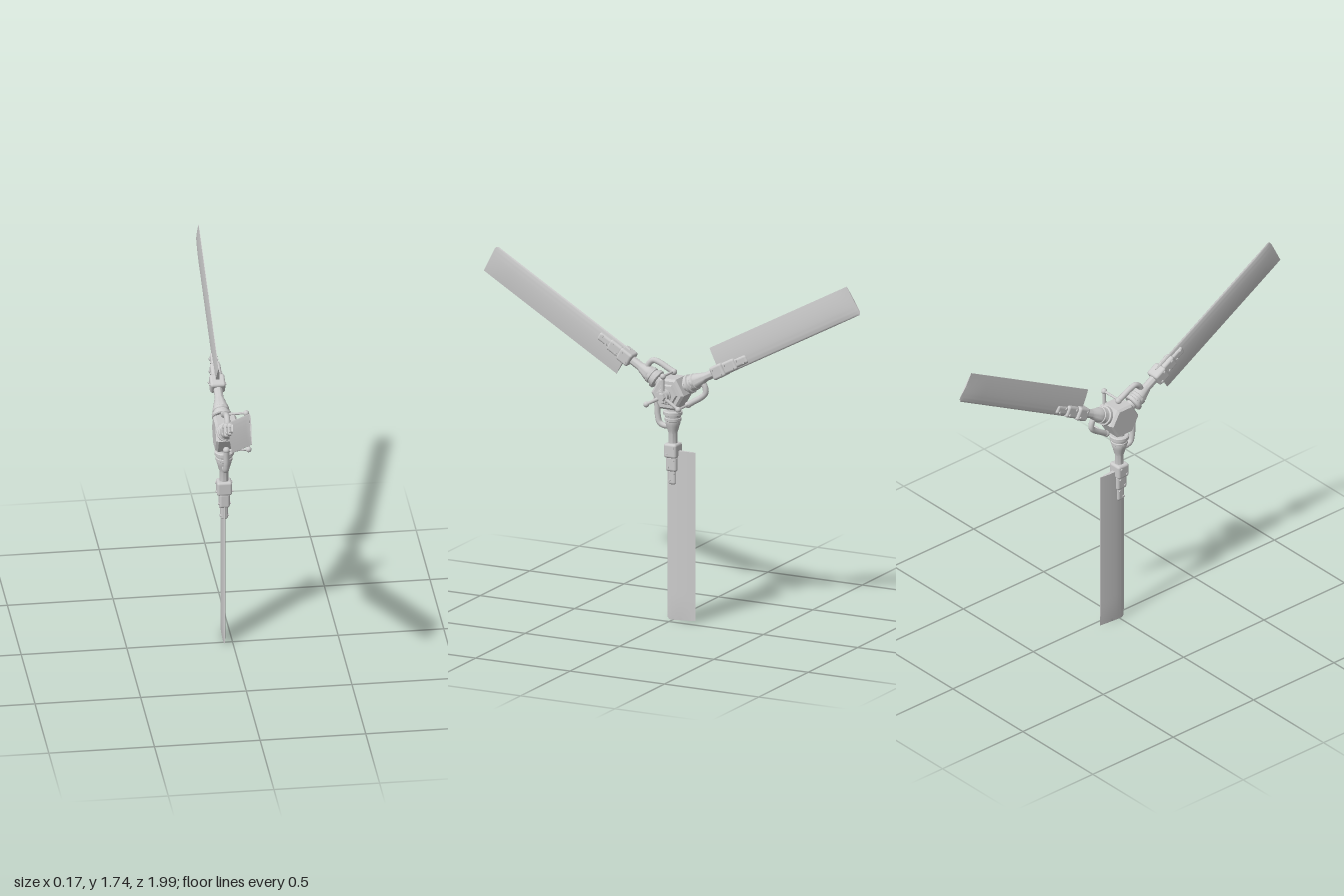
import * as THREE from 'three';
import { toCreasedNormals } from 'three/addons/utils/BufferGeometryUtils.js';
import { RoundedBoxGeometry } from 'three/addons/geometries/RoundedBoxGeometry.js';

const grey = new THREE.MeshStandardMaterial({ color: 0xcccccc });

function add(parent, name, geometry, x = 0, y = 0, z = 0) {
  const mesh = new THREE.Mesh(geometry, grey);
  mesh.name = name;
  mesh.position.set(x, y, z);
  parent.add(mesh);
  return mesh;
}

// Cylinder lying along x between two x positions
function xCylinder(parent, name, x0, x1, r0, r1, sides, y = 0, z = 0) {
  const g = new THREE.CylinderGeometry(r1, r0, x1 - x0, sides).rotateZ(-Math.PI / 2);
  return add(parent, name, toCreasedNormals(g, 0.6), (x0 + x1) / 2, y, z);
}

const lathe = (points, sides = 24) => toCreasedNormals(
  new THREE.LatheGeometry(points.map(([r, y]) => new THREE.Vector2(r, y)), sides), 0.6);

// Airfoil extruded down the span, thinned and rounded towards the tip
function bladeGeometry(root, tip) {
  const lead = 0.028, chord = 0.147, n = 18, upper = [], lower = [];
  for (let i = 0; i <= n; i++) {
    const t = (1 - Math.cos((i / n) * Math.PI)) / 2;
    const half = 0.022 * (Math.sqrt(t) * (1 - t) * 0.95 + 0.07 * t * (1 - t)) + 0.0012 * t;
    upper.push(new THREE.Vector2(half, lead - chord * t));
    if (i > 0) lower.unshift(new THREE.Vector2(-half, lead - chord * t));
  }
  const span = tip - root;
  const g = new THREE.ExtrudeGeometry(new THREE.Shape([...upper, ...lower]),
    { depth: span, steps: 40, bevelEnabled: false });
  const p = g.attributes.position;
  for (let i = 0; i < p.count; i++) {
    const d = p.getZ(i), c = (lead - p.getY(i)) / chord;
    const k = Math.max(0, (d - span + 0.13) / 0.13);
    p.setX(i, p.getX(i) * (1 - 0.6 * k * k));
    p.setZ(i, d - k * (0.008 * c + 0.012 * Math.max(0, 1 - c * 9) ** 2));
  }
  g.rotateX(Math.PI / 2).translate(0, -root, 0);
  return toCreasedNormals(g, 0.6);
}

// One blade with its grip, pointing down; the rotor centre is the origin
function bladeAssembly(tip, shift) {
  const arm = new THREE.Group();
  arm.name = 'bladeAssembly';
  add(arm, 'blade', bladeGeometry(0.283, tip), 0, 0, shift);

  // Pivot pin and flared collar, narrowing to the neck
  add(arm, 'pivotPin', new THREE.CylinderGeometry(0.026, 0.026, 0.06, 20), 0, -0.08, 0);
  const sleeve = lathe([
    [0, -0.265], [0.021, -0.265], [0.021, -0.2], [0.026, -0.185], [0.031, -0.165], [0.036, -0.15],
    [0.036, -0.141], [0.04, -0.138], [0.04, -0.126], [0.037, -0.123], [0.039, -0.112],
    [0.046, -0.109], [0.046, -0.095], [0.041, -0.091], [0, -0.091]]);
  add(arm, 'gripSleeve', sleeve);

  // Stepped clamp over the blade root, with bolts on both faces
  const steps = [ // r0, r1, width in x, width in z
    [0.248, 0.318, 0.072, 0.066], [0.31, 0.385, 0.05, 0.058], [0.375, 0.45, 0.034, 0.042]];
  steps.forEach(([r0, r1, w, d]) => {
    const mid = (r0 + r1) / 2;
    add(arm, 'clampStep', new RoundedBoxGeometry(w, r1 - r0, d, 3, 0.012), 0, -mid, 0);
    for (const side of [-1, 1]) {
      for (const [dy, dz] of [[-0.017, 0.25], [0.017, -0.25]]) {
        xCylinder(arm, 'clampBolt', side * w / 2 - 0.005, side * w / 2 + 0.005,
          0.006, 0.006, 8, -mid + dy, dz * d);
      }
    }
  });

  // Curved pitch horn, reaching round to the control link
  const path = new THREE.CatmullRomCurve3([
    [0, -0.168, 0.012], [0, -0.17, 0.045], [0, -0.158, 0.07], [0, -0.125, 0.08],
    [0, -0.08, 0.083], [0, -0.045, 0.086]].map(a => new THREE.Vector3(...a)));
  add(arm, 'pitchHorn', new THREE.TubeGeometry(path, 28, 0.014, 12));
  add(arm, 'hornEnd', new THREE.SphereGeometry(0.016, 14, 10), 0, -0.045, 0.086);
  return arm;
}

// Control link from the spider to a pitch horn
function controlLink() {
  const link = new THREE.Group();
  link.name = 'controlLink';
  const y = -0.048, z = 0.086;
  xCylinder(link, 'linkRod', 0, 0.105, 0.006, 0.006, 10, y, z);
  add(link, 'linkBall', new THREE.SphereGeometry(0.014, 16, 12), 0.105, y, z);
  const spoke = add(link, 'spiderArm',
    new THREE.CylinderGeometry(0.007, 0.01, 0.1, 10), 0.105, y / 2, z / 2);
  spoke.rotation.x = Math.atan2(z, y);
  return link;
}

export function createModel() {
  const model = new THREE.Group();
  model.name = 'tailRotor';
  const rotor = new THREE.Group();
  rotor.name = 'rotor';
  rotor.position.set(-0.04, 1.112, 0);
  model.add(rotor);

  // Six-sided hub, with flats towards the blades
  const hub = new THREE.Group();
  hub.name = 'hub';
  rotor.add(hub);
  const hex = (name, x0, x1, r0, r1) => {
    const m = xCylinder(hub, name, x0, x1, r0, r1, 6);
    m.rotation.x = 0;
    return m;
  };
  hex('hubBack', -0.047, -0.035, 0.076, 0.086);
  hex('hubBody', -0.035, 0.052, 0.086, 0.086);
  hex('hubRim', 0.052, 0.062, 0.086, 0.074);
  hex('hubCap', 0.062, 0.072, 0.056, 0.05);

  // Shaft and spider boss in front of the hub
  xCylinder(hub, 'shaft', 0.06, 0.115, 0.018, 0.018, 20);
  xCylinder(hub, 'spiderBoss', 0.085, 0.112, 0.034, 0.028, 20);
  xCylinder(hub, 'shaftNut', 0.112, 0.126, 0.022, 0.018, 6);
  add(hub, 'bossRing', new THREE.TorusGeometry(0.031, 0.005, 8, 24).rotateY(Math.PI / 2), 0.092);

  // Three blades: turn in degrees, tip radius, chordwise shift
  const blades = [[0, 1.11, 0], [118.2, 1.116, 0.002], [-120.4, 1.106, 0.011]];
  for (const [turn, tip, shift] of blades) {
    const arm = bladeAssembly(tip, shift);
    arm.add(controlLink());
    arm.rotation.x = THREE.MathUtils.degToRad(turn);
    rotor.add(arm);
  }
  return model;
}
